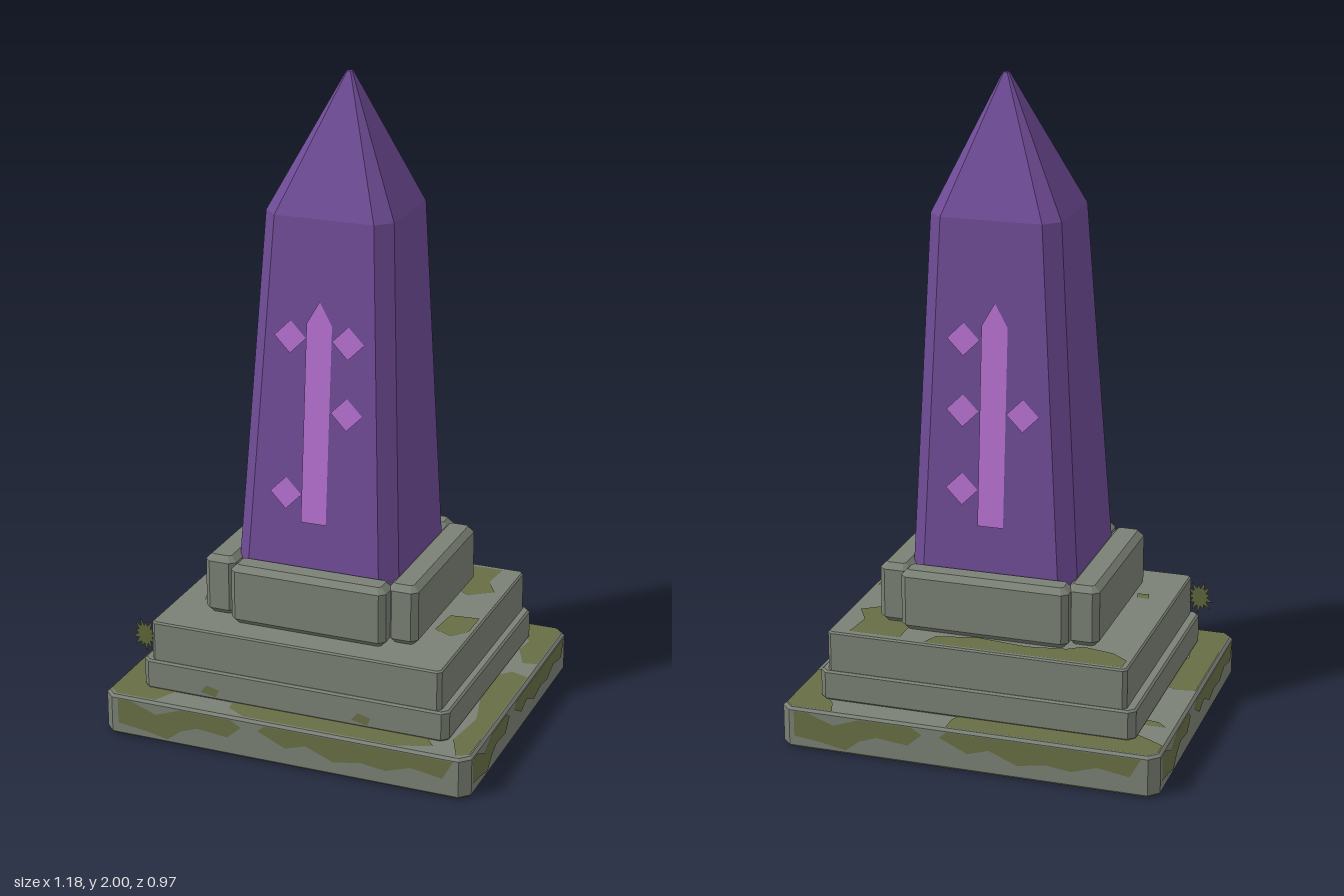
import * as THREE from 'three';

const mat = (name, color, side = THREE.FrontSide) => {
  const m = new THREE.MeshStandardMaterial({ color, side });
  m.name = name;
  return m;
};

// Chamfered stone block given by its bounds; c cuts the upright corners, b the rims
function block(x0, x1, y0, y1, z0, z1, c, b) {
  const w = (x1 - x0) / 2, d = (z1 - z0) / 2;
  const pts = [[w - c, -d], [w, c - d], [w, d - c], [w - c, d], [c - w, d], [-w, d - c], [-w, c - d], [c - w, -d]];
  const geo = new THREE.ExtrudeGeometry(new THREE.Shape(pts.map(p => new THREE.Vector2(...p))), {
    depth: y1 - y0 - 2 * b, bevelThickness: b, bevelSize: b, bevelOffset: -b, bevelSegments: 1
  });
  geo.rotateX(-Math.PI / 2);
  geo.translate((x0 + x1) / 2, y0 + b, (z0 + z1) / 2);
  return geo;
}

// Flat polygon in the xy plane
const flat = pts => new THREE.ShapeGeometry(new THREE.Shape(pts.map(p => new THREE.Vector2(...p))));

// Eight-sided ring with cut corners
const ring = (y, x0, x1, z0, z1, c) => [
  [x0 + c, y, z1], [x1 - c, y, z1], [x1, y, z1 - c], [x1, y, z0 + c],
  [x1 - c, y, z0], [x0 + c, y, z0], [x0, y, z0 + c], [x0, y, z1 - c]
];

// Faceted skin through a list of rings, closed at the top
function loft(rings) {
  const v = [];
  for (let r = 0; r < rings.length - 1; r++) {
    for (let i = 0; i < 8; i++) {
      const j = (i + 1) % 8, a = rings[r], b = rings[r + 1];
      v.push(...a[i], ...a[j], ...b[j], ...a[i], ...b[j], ...b[i]);
    }
  }
  const top = rings[rings.length - 1];
  for (let i = 1; i < 7; i++) v.push(...top[0], ...top[i], ...top[i + 1]);
  const geo = new THREE.BufferGeometry();
  geo.setAttribute('position', new THREE.Float32BufferAttribute(v, 3));
  geo.computeVertexNormals();
  return geo;
}

export function createModel() {
  const model = new THREE.Group();
  model.name = 'obelisk';
  const stone = mat('stone', 0x7a8075);
  const moss = mat('moss', 0x676d44);
  const crystal = mat('purple crystal', 0x6e4b95);
  const glow = mat('light purple', 0xb670d0);
  const leaf = mat('leaf green', 0x5c6238, THREE.DoubleSide);
  const add = (name, geo, material, parent = model) => {
    const mesh = new THREE.Mesh(geo, material);
    mesh.name = name;
    parent.add(mesh);
    return mesh;
  };

  // Stepped plinth
  add('baseSlab', block(-0.59, 0.585, 0, 0.13, -0.485, 0.478, 0.03, 0.008), stone);
  add('lowerStep', block(-0.495, 0.49, 0.13, 0.225, -0.4, 0.395, 0.02, 0.006), stone);
  add('upperStep', block(-0.467, 0.465, 0.22, 0.35, -0.392, 0.387, 0.012, 0.005), stone);

  // Four curb stones round the shaft
  add('frontCurb', block(-0.24, 0.258, 0.35, 0.54, 0.22, 0.31, 0.018, 0.018), stone);
  add('backCurb', block(-0.262, 0.26, 0.35, 0.54, -0.312, -0.225, 0.018, 0.018), stone);
  add('rightCurb', block(-0.345, -0.245, 0.35, 0.54, -0.27, 0.262, 0.018, 0.018), stone);
  add('leftCurb', block(0.245, 0.342, 0.35, 0.54, -0.27, 0.262, 0.018, 0.018), stone);

  // Tapered shaft with a pointed cap
  add('shaft', loft([
    ring(0.35, -0.257, 0.257, -0.236, 0.232, 0.047),
    ring(0.53, -0.257, 0.257, -0.236, 0.232, 0.047),
    ring(1.6, -0.188, 0.21, -0.187, 0.167, 0.045),
    ring(2, 0.012, 0.03, -0.019, -0.001, 0.004)
  ]), crystal);

  // Glowing signs, laid on the sloping front and back faces
  const stem = [[-0.04, 0.68], [0.04, 0.68], [0.046, 1.29], [0.006, 1.36], [-0.034, 1.29]];
  const diamond = (x, y) => [[x - 0.05, y], [x, y - 0.05], [x + 0.05, y], [x, y + 0.05]];
  const signs = {
    front: [[-0.085, 1.245], [0.097, 1.245], [0.097, 1.03], [-0.09, 0.765]],
    back: [[-0.09, 1.245], [-0.09, 1.03], [0.095, 1.03], [-0.09, 0.79]]
  };
  for (const [side, spots] of Object.entries(signs)) {
    const group = new THREE.Group();
    group.name = side + 'Sign';
    const [z0, z1] = side === 'front' ? [0.232, 0.167] : [0.236, 0.187];
    [stem, ...spots.map(s => diamond(...s))].forEach((pts, i) => {
      const geo = flat(pts), p = geo.attributes.position;
      for (let k = 0; k < p.count; k++) {
        p.setZ(k, z0 + (z1 - z0) * (p.getY(k) - 0.53) / 1.07 + 0.004);
      }
      geo.computeVertexNormals();
      add(i ? 'signDiamond' : 'signStem', geo, glow, group);
    });
    if (side === 'back') group.rotation.y = Math.PI;
    model.add(group);
  }

  // Moss on level faces, outlined in x and z
  const level = (name, y, patches) => patches.forEach(pts => {
    add(name, flat(pts.map(([x, z]) => [x, -z])).rotateX(-Math.PI / 2).translate(0, y, 0), moss);
  });
  level('slabMoss', 0.132, [
    [[-0.58, -0.45], [-0.555, -0.475], [0.06, -0.475], [0.06, -0.42], [0.03, -0.36], [-0.44, -0.36], [-0.47, -0.34], [-0.53, -0.37], [-0.58, -0.4]],
    [[-0.56, -0.28], [-0.47, -0.28], [-0.47, -0.24], [-0.53, -0.25]],
    [[-0.58, 0], [-0.52, -0.01], [-0.46, 0.02], [-0.46, 0.17], [-0.5, 0.24], [-0.46, 0.36], [-0.38, 0.38], [-0.42, 0.465], [-0.55, 0.465], [-0.58, 0.44]],
    [[-0.2, 0.38], [0.42, 0.38], [0.46, 0.43], [0.36, 0.465], [-0.13, 0.465], [-0.19, 0.43]],
    [[0.42, -0.475], [0.55, -0.475], [0.575, -0.45], [0.575, -0.2], [0.53, -0.19], [0.49, -0.28], [0.5, -0.35], [0.44, -0.42]],
    [[0.575, -0.1], [0.575, 0.44], [0.54, 0.46], [0.5, 0.37], [0.52, 0.22], [0.48, 0.06], [0.48, -0.08], [0.52, -0.12]]
  ]);
  level('stepMoss', 0.352, [
    [[-0.45, -0.38], [-0.1, -0.38], [0.16, -0.38], [0.14, -0.33], [0.02, -0.3], [-0.14, -0.32], [-0.26, -0.3], [-0.3, -0.27], [-0.4, -0.29], [-0.45, -0.33]],
    [[0.24, -0.37], [0.4, -0.37], [0.39, -0.27], [0.43, -0.2], [0.36, -0.15], [0.28, -0.2], [0.24, -0.28]],
    [[0.36, 0.01], [0.45, 0], [0.45, 0.1], [0.41, 0.15], [0.35, 0.12]],
    [[-0.39, 0.15], [-0.35, 0.15], [-0.345, 0.18], [-0.38, 0.185]]
  ]);

  // Moss under the slab
  [
    [[0.3, -0.46], [0.56, -0.45], [0.56, 0.1], [0.4, 0.16], [0.24, 0.08], [0.1, 0.28], [-0.12, 0.36], [-0.32, 0.2], [-0.54, 0.22], [-0.56, -0.04], [-0.36, -0.1], [-0.24, -0.28], [0.02, -0.22]],
    [[0.3, 0.3], [0.42, 0.28], [0.46, 0.4], [0.34, 0.42]],
    [[-0.45, 0.34], [-0.36, 0.33], [-0.34, 0.41], [-0.43, 0.42]]
  ].forEach(pts => add('undersideMoss', flat(pts).rotateX(Math.PI / 2).translate(0, -0.001, 0), moss));

  // Moss on the slab sides, outlined along each side as a share of its half width
  const sideMoss = [
    [[-0.98, 0.04], [-0.82, 0.03], [-0.68, 0.015], [-0.6, 0.05], [-0.5, 0.07], [-0.32, 0.06], [-0.24, 0.1], [-0.3, 0.12], [-0.6, 0.12], [-0.75, 0.09], [-0.9, 0.12], [-0.98, 0.12]],
    [[-0.14, 0.1], [0.02, 0.06], [0.14, 0.08], [0.3, 0.045], [0.46, 0.06], [0.6, 0.05], [0.74, 0.075], [0.92, 0.06], [0.98, 0.12], [-0.1, 0.12]]
  ];
  const sides = [['front', 0, 0.55, 0.479], ['left', 1, 0.45, 0.586], ['back', 2, 0.55, 0.486], ['right', 3, 0.45, 0.591]];
  for (const [name, turn, half, dist] of sides) {
    for (const pts of sideMoss) {
      const geo = flat(pts.map(([u, y]) => [u * half, y])).translate(0, 0, dist + 0.001);
      add(name + 'SlabMoss', geo.rotateY(turn * Math.PI / 2), moss);
    }
  }
  // Small moss spots on the lower step
  for (const x of [-0.27, 0.22]) {
    const spot = flat([[x - 0.03, 0.15], [x + 0.02, 0.14], [x + 0.03, 0.165], [x - 0.01, 0.175]]);
    add('lowerStepMoss', spot.translate(0, 0, 0.397), moss);
  }

  // Spiky weed growing on the edge of the step
  const spikes = [];
  for (let i = 0; i < 26; i++) {
    const a = i * Math.PI / 13, r = i % 2 ? 0.03 : 0.043 + 0.017 * Math.abs(Math.sin(i * 2.1));
    spikes.push([r * Math.cos(a) * 0.8, r * Math.sin(a)]);
  }
  const weed = add('weed', flat(spikes), leaf);
  weed.position.set(-0.5, 0.29, 0.36);
  weed.rotation.y = -0.07;

  return model;
}
